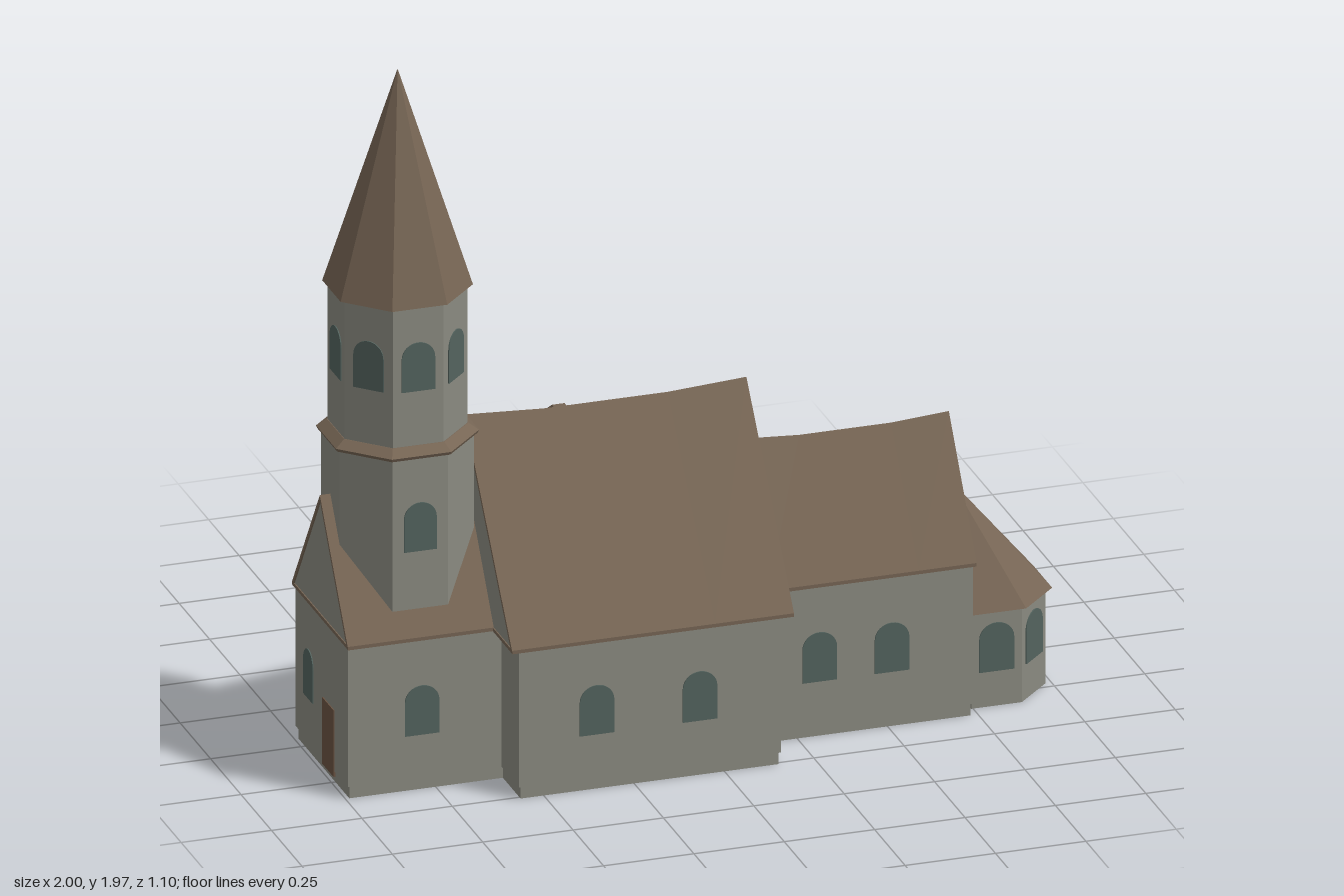
import * as THREE from 'three';

const mat = (name, color) => {
  const m = new THREE.MeshStandardMaterial({ color });
  m.name = name;
  return m;
};

export function createModel() {
  const wall = mat('stone wall', 0x8a8a80);
  const roof = mat('brown roof', 0x766554);
  const glass = mat('dark glass', 0x53635e);
  const wood = mat('door wood', 0x6a5342);

  const model = new THREE.Group();
  model.name = 'church';
  const AXIS = 0.155, EAVE = 0.44;

  const add = (name, geo, material, x = 0, y = 0, z = 0, ry = 0) => {
    const mesh = new THREE.Mesh(geo, material);
    mesh.name = name;
    mesh.position.set(x, y, z);
    mesh.rotation.y = ry;
    model.add(mesh);
    return mesh;
  };

  // Flat faces given as convex corner loops, counter-clockwise from outside
  const faces = (list) => {
    const p = [];
    for (const f of list)
      for (let i = 1; i < f.length - 1; i++) p.push(...f[0], ...f[i], ...f[i + 1]);
    const g = new THREE.BufferGeometry();
    g.setAttribute('position', new THREE.Float32BufferAttribute(p, 3));
    g.computeVertexNormals();
    return g;
  };

  const box = (name, material, x0, x1, y0, y1, z0, z1) =>
    add(name, new THREE.BoxGeometry(x1 - x0, y1 - y0, z1 - z0), material,
      (x0 + x1) / 2, (y0 + y1) / 2, (z0 + z1) / 2);

  // Wall block on a slightly set-back footing
  const block = (name, x0, x1, z0, z1) => {
    const i = 0.006;
    box(name + 'Footing', wall, x0 + i, x1 - i, 0, 0.035, z0 + i, z1 - i);
    box(name + 'Walls', wall, x0, x1, 0.035, EAVE, z0, z1);
  };

  // Eight-sided prism or cone with flats facing the axes; a = distance to the flats
  const octagon = (name, material, aTop, aBottom, y0, y1, x) => {
    const c = Math.cos(Math.PI / 8);
    const g = new THREE.CylinderGeometry(aTop / c, aBottom / c, y1 - y0, 8, 1, false, Math.PI / 8).toNonIndexed();
    g.computeVertexNormals();
    return add(name, g, material, x, (y0 + y1) / 2, AXIS);
  };

  // Gabled roof shell with a sagging ridge, stone gables and a soffit
  const gableRoof = (name, x0, x1, half, ridge, sag) => {
    const L = x1 - x0;
    const rings = [[0, 0], [0.28, sag], [0.72, sag], [1, 0]].map(([t, s]) => {
      const r = ridge - s;
      return [[half, EAVE], [0, r], [-half, EAVE], [-half + 0.012, EAVE], [0, r - 0.016], [half - 0.012, EAVE]]
        .map(([z, y]) => [x0 + t * L, y, AXIS + z]);
    });
    const list = [];
    for (let k = 0; k < 3; k++)
      for (let i = 0; i < 6; i++) {
        const j = (i + 1) % 6, a = rings[k], b = rings[k + 1];
        list.push([a[i], b[i], b[j], a[j]]);
      }
    const caps = (r) => [[r[0], r[1], r[4], r[5]], [r[1], r[2], r[3], r[4]]];
    list.push(...caps(rings[0]), ...caps(rings[3]).map((f) => f.reverse()));
    add(name + 'Roof', faces(list), roof);

    const tri = new THREE.Shape([[half - 0.01, EAVE], [0, ridge - 0.013], [-half + 0.01, EAVE]]
      .map(([x, y]) => new THREE.Vector2(x, y)));
    for (const x of [x0 + 0.004, x1 - 0.014])
      add(name + 'Gable', new THREE.ExtrudeGeometry(tri, { depth: 0.01, bevelEnabled: false }),
        wall, x, 0, AXIS, Math.PI / 2);
    box(name + 'Soffit', roof, x0 + 0.001, x1 - 0.001, EAVE - 0.008, EAVE + 0.002, AXIS - half, AXIS + half);
  };

  // Thin plates: arched window, cross window, door
  const arch = (w, h) => {
    const s = new THREE.Shape();
    s.moveTo(-w / 2, 0);
    s.lineTo(w / 2, 0);
    s.lineTo(w / 2, h * 0.68);
    s.absellipse(0, h * 0.68, w / 2, h * 0.32, 0, Math.PI, false);
    s.closePath();
    return s;
  };
  const cross = new THREE.Shape([
    [-0.01, 0], [0.01, 0], [0.01, 0.04], [0.029, 0.04], [0.029, 0.062], [0.01, 0.062],
    [0.01, 0.09], [-0.01, 0.09], [-0.01, 0.062], [-0.029, 0.062], [-0.029, 0.04], [-0.01, 0.04],
  ].map(([x, y]) => new THREE.Vector2(x, y)));
  const doorShape = new THREE.Shape([[-0.047, 0], [0.047, 0], [0.047, 0.19], [-0.047, 0.19]]
    .map(([x, y]) => new THREE.Vector2(x, y)));
  const plate = (name, shape, material, x, y, z, ry) => {
    const g = new THREE.ExtrudeGeometry(shape, { depth: 0.005, bevelEnabled: false, curveSegments: 8 });
    g.translate(0, 0, -0.002);
    return add(name, g, material, x, y, z, ry);
  };
  const BACK = Math.PI, EAST = Math.PI / 2, WEST = -Math.PI / 2;
  const octWindow = (name, x, a, y, w, h, k) => {
    const t = k * Math.PI / 4;
    plate(name, arch(w, h), glass, x + Math.sin(t) * a, y, AXIS + Math.cos(t) * a, t);
  };

  // Main bodies
  block('nave', -0.57, 0.155, -0.205, 0.515);
  block('chancel', 0.1, 0.735, -0.06, 0.37);
  block('westBlock', -0.995, -0.5, -0.06, 0.37);
  block('transept', -0.425, -0.03, -0.526, -0.1);
  gableRoof('nave', -0.6, 0.18, 0.392, 0.957, 0.013);
  gableRoof('chancel', 0.165, 0.74, 0.23, 0.782, 0.011);
  gableRoof('westBlock', -1, -0.58, 0.23, 0.782, 0);

  // Hipped transept roof
  {
    const xa = -0.455, xb = 0.003, ra = -0.235, rb = -0.2, e = EAVE, r = 0.785;
    const zb = -0.552, zi = -0.2, zr = -0.21, zf = 0.045;
    add('transeptRoof', faces([
      [[xa, e, zb], [xa, e, zi], [ra, r, zf], [ra, r, zr]],
      [[xb, e, zi], [xb, e, zb], [rb, r, zr], [rb, r, zf]],
      [[xb, e, zb], [xa, e, zb], [ra, r, zr], [rb, r, zr]],
      [[ra, r, zr], [ra, r, zf], [rb, r, zf], [rb, r, zr]],
    ]), roof);
    box('transeptSoffit', roof, xa, xb, e - 0.009, e, zb, zi);
  }

  // Tower
  const TX = -0.785;
  octagon('towerLower', wall, 0.186, 0.186, 0.4, 0.94, TX);
  octagon('towerLedge', roof, 0.172, 0.198, 0.945, 0.965, TX);
  octagon('towerLedgeEdge', roof, 0.198, 0.194, 0.936, 0.945, TX);
  octagon('towerUpper', wall, 0.17, 0.17, 0.94, 1.365, TX);
  octagon('spire', roof, 0.001, 0.183, 1.36, 1.967, TX);
  for (let k = 0; k < 8; k++) octWindow('belfryWindow', TX, 0.17, 1.12, k % 2 ? 0.088 : 0.092, 0.138, k);
  for (const k of [0, 4]) octWindow('towerWindow', TX, 0.186, 0.67, 0.09, 0.138, k);

  // Apse with a leaning half-cone roof
  const AX = 0.815;
  octagon('apseWalls', wall, 0.169, 0.169, 0, 0.275, AX);
  for (let k = 0; k < 5; k++) octWindow('apseWindow', AX, 0.169, 0.1, 0.096, 0.138, k);
  {
    const a = 0.185, s = a * Math.tan(Math.PI / 8), y = 0.273, apex = [0.75, 0.577, AXIS];
    const rim = [[-s, a], [s, a], [a, s], [a, -s], [s, -a], [-s, -a]].map(([x, z]) => [AX + x, y, AXIS + z]);
    const list = rim.map((p, i) => [p, rim[(i + 1) % 6], apex]);
    list.push([...rim].reverse());
    add('apseRoof', faces(list), roof);
  }

  // Arched windows along both long sides
  for (const x of [-0.355, -0.07]) plate('naveWindow', arch(0.095, 0.14), glass, x, 0.158, 0.515, 0);
  for (const x of [-0.79, 0.31, 0.51]) {
    plate('sideWindow', arch(0.095, 0.14), glass, x, 0.158, 0.37, 0);
    plate('sideWindow', arch(0.095, 0.14), glass, x, 0.158, -0.06, BACK);
  }
  plate('westWindow', arch(0.08, 0.14), glass, -0.995, 0.158, 0.05, WEST);

  // Cross windows
  for (const x of [-0.105, -0.35]) plate('crossWindow', cross, glass, x, 0.235, -0.526, BACK);
  plate('crossWindow', cross, glass, -0.03, 0.235, -0.365, EAST);
  plate('crossWindow', cross, glass, -0.425, 0.235, -0.365, WEST);
  plate('crossWindow', cross, glass, 0.155, 0.235, -0.125, EAST);
  plate('crossWindow', cross, glass, -0.57, 0.235, -0.125, WEST);

  // Doors
  plate('transeptDoor', doorShape, wood, -0.2275, 0.02, -0.526, BACK);
  plate('westDoor', doorShape, wood, -0.995, 0.02, 0.215, WEST);

  return model;
}
